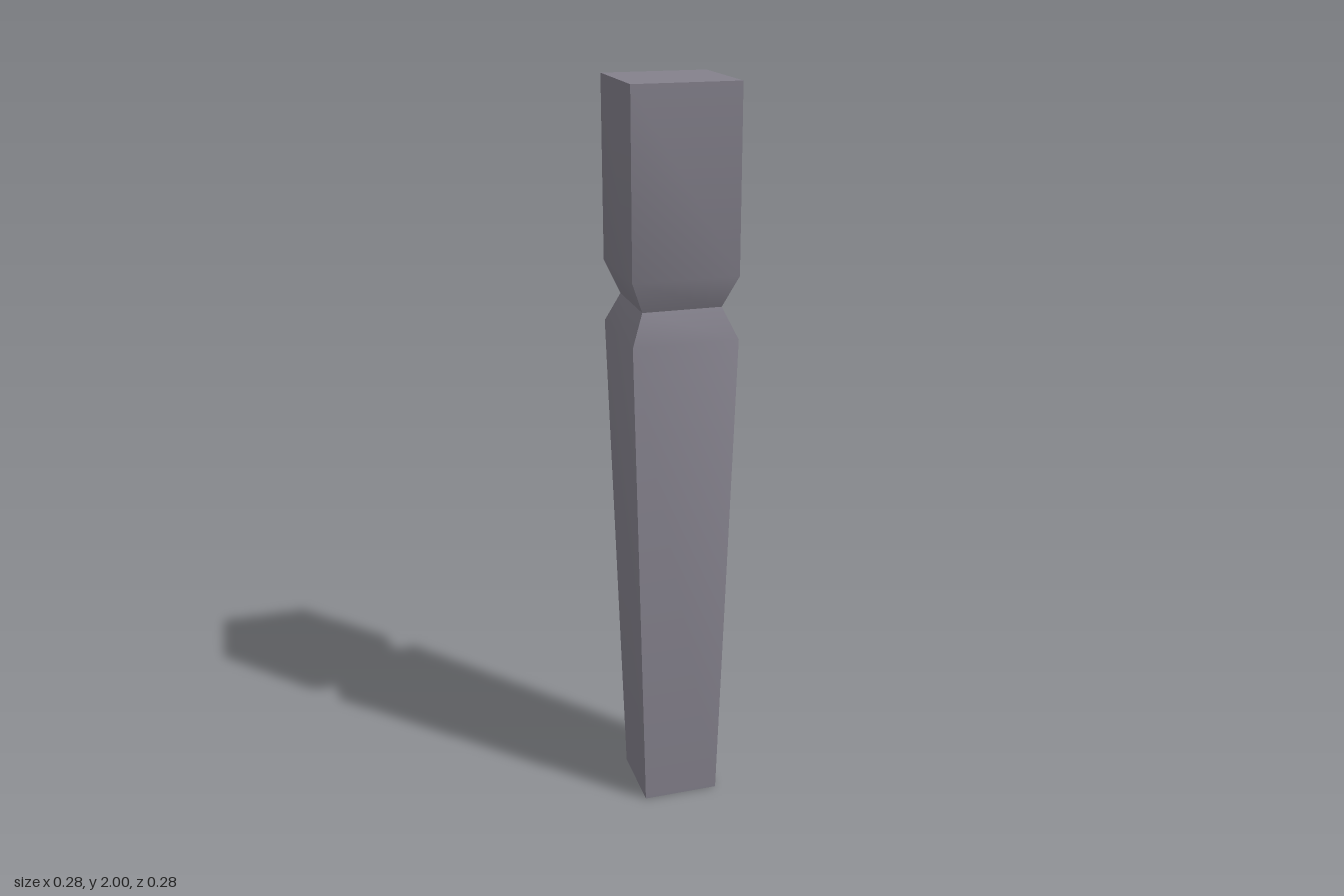
import * as THREE from 'three';
import { toCreasedNormals } from 'three/addons/utils/BufferGeometryUtils.js';

const WIDE = 0.14;    // half width of the head and shoulder
const NARROW = 0.105; // half width of the neck and foot
const NECK_Y = 1.44;

// Square turning: profile of [half width, height], from bottom to top.
// Bevels blend softly into the faces; the four corners stay sharp.
function squareTurning(profile) {
  const points = profile.map(([half, y]) => new THREE.Vector2(half * Math.SQRT2, y));
  const geometry = new THREE.LatheGeometry(points, 4, Math.PI / 4);
  return toCreasedNormals(geometry, THREE.MathUtils.degToRad(35));
}

export function createModel() {
  const model = new THREE.Group();
  model.name = 'tableLeg';

  const greyWood = new THREE.MeshStandardMaterial({ color: 0x84818c });
  greyWood.name = 'greyWood';

  const add = (name, profile) => {
    const mesh = new THREE.Mesh(squareTurning(profile), greyWood);
    mesh.name = name;
    model.add(mesh);
  };

  // Tapered shaft from the foot up to the neck
  add('taperedShaft', [[0, 0], [NARROW, 0], [WIDE, 1.36], [NARROW, NECK_Y]]);

  // Straight head block, bevelled down to the neck
  add('headBlock', [[NARROW, NECK_Y], [WIDE, 1.525], [WIDE, 2], [0, 2]]);

  return model;
}
